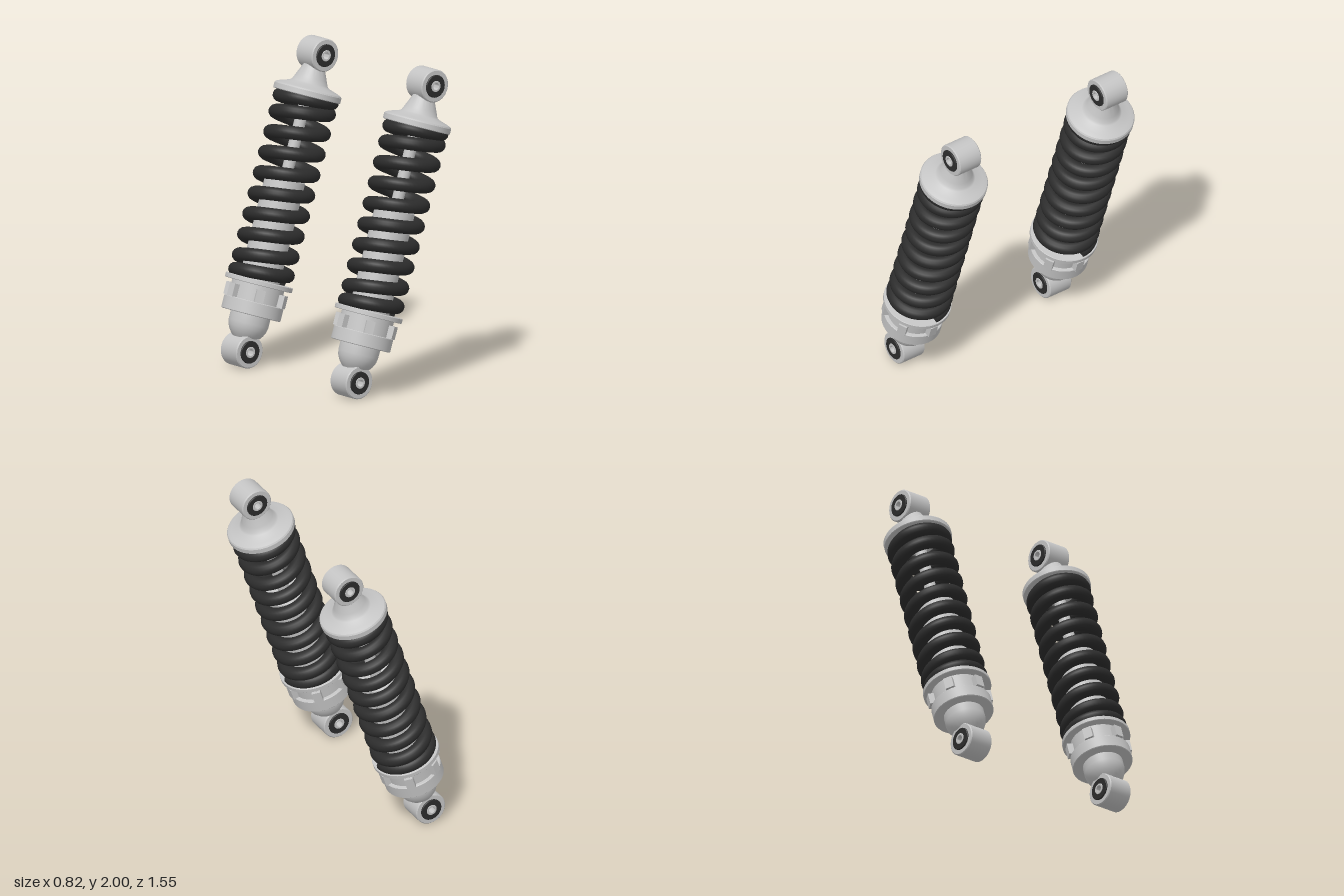
import * as THREE from 'three';
import { toCreasedNormals } from 'three/addons/utils/BufferGeometryUtils.js';

const silver = new THREE.MeshStandardMaterial({ color: 0xc4c4c4 });
silver.name = 'silver metal';
const black = new THREE.MeshStandardMaterial({ color: 0x2c2c2c });
black.name = 'black';

const LENGTH = 1.886; // distance between the two mounting eyes

function mesh(name, geometry, material) {
  const m = new THREE.Mesh(geometry, material);
  m.name = name;
  return m;
}

// Turned part from [radius, height] pairs, bottom to top
function turned(name, profile, material, segments = 56) {
  const geo = new THREE.LatheGeometry(profile.map(([r, y]) => new THREE.Vector2(r, y)), segments);
  return mesh(name, toCreasedNormals(geo, 0.5), material);
}

// Hollow ring with softened rims, its axis along z
function ring(name, inner, outer, half, bevel, material) {
  const m = turned(name, [
    [inner, -half], [outer - bevel, -half], [outer, -half + bevel],
    [outer, half - bevel], [outer - bevel, half], [inner, half], [inner, -half],
  ], material, 40);
  m.rotation.x = Math.PI / 2;
  return m;
}

// Mounting eye: metal ring, rubber bushing and bored sleeve
function mountingEye(name, y) {
  const g = new THREE.Group();
  g.name = name;
  g.add(
    ring('eyeRing', 0.07, 0.103, 0.083, 0.006, silver),
    ring('rubberBushing', 0.034, 0.071, 0.091, 0.004, black),
    ring('eyeSleeve', 0.022, 0.035, 0.094, 0.002, silver),
  );
  g.position.y = y;
  return g;
}

// Helix whose pitch tightens at both ends
class SpringCurve extends THREE.Curve {
  getPoint(t, target = new THREE.Vector3()) {
    const n = t * 10;
    const mid = THREE.MathUtils.clamp(n, 1.5, 8.5);
    const d = n - mid;
    const y = 0.579 + (mid - 1.5) * 0.1304 + d * 0.1304 - Math.sign(d) * 0.033 * d * d;
    const a = n * Math.PI * 2;
    return target.set(Math.cos(a) * 0.164, y, -Math.sin(a) * 0.164);
  }
}

function coilSpring() {
  const g = new THREE.Group();
  g.name = 'coilSpring';
  const curve = new SpringCurve();
  g.add(mesh('coil', new THREE.TubeGeometry(curve, 480, 0.042, 14), black));
  // Flat cut ends of the wire
  for (const t of [0, 1]) {
    const cap = mesh('coilEnd', new THREE.CircleGeometry(0.042, 14), black);
    cap.position.copy(curve.getPoint(t));
    const dir = curve.getTangent(t).multiplyScalar(t ? 1 : -1);
    cap.quaternion.setFromUnitVectors(new THREE.Vector3(0, 0, 1), dir);
    g.add(cap);
  }
  return g;
}

function shockAbsorber(name) {
  const g = new THREE.Group();
  g.name = name;
  g.add(mountingEye('lowerEye', 0), mountingEye('upperEye', LENGTH));

  // Rounded foot, adjuster collar and spring seat
  g.add(turned('lowerSeat', [
    [0.075, 0.075], [0.09, 0.09], [0.107, 0.112], [0.12, 0.14], [0.126, 0.17], [0.126, 0.225],
    [0.184, 0.225], [0.188, 0.229], [0.188, 0.306], [0.184, 0.31],
    [0.165, 0.31], [0.165, 0.415], [0.21, 0.415], [0.213, 0.418],
    [0.213, 0.442], [0.21, 0.445], [0.1, 0.445],
  ], silver));

  // Adjuster lugs around the collar
  for (let i = 0; i < 6; i++) {
    const a = (i * Math.PI) / 3;
    const lug = mesh('adjusterLug', new THREE.BoxGeometry(0.05, 0.08, 0.055), silver);
    lug.position.set(Math.cos(a) * 0.175, 0.349, -Math.sin(a) * 0.175);
    lug.rotation.y = a;
    g.add(lug);
  }

  // Damper body with chamfered top, and the piston rod
  g.add(turned('damperBody', [
    [0.126, 0.44], [0.126, 1.085], [0.106, 1.112], [0.02, 1.112],
  ], silver));
  const rod = mesh('pistonRod', new THREE.CylinderGeometry(0.037, 0.037, 0.54, 28), silver);
  rod.position.y = 1.37;
  g.add(rod);

  // Flared upper spring seat
  g.add(turned('upperSeat', [
    [0.02, 1.617], [0.209, 1.617], [0.213, 1.621], [0.213, 1.652], [0.207, 1.661],
    [0.18, 1.673], [0.125, 1.69], [0.113, 1.7], [0.1, 1.73], [0.072, 1.795], [0.068, 1.811],
  ], silver));

  g.add(coilSpring());
  return g;
}

export function createModel() {
  const model = new THREE.Group();
  model.name = 'shockAbsorberPair';
  // Two identical units, both leaning toward +x
  for (const side of [1, -1]) {
    const shock = shockAbsorber(side > 0 ? 'frontShock' : 'rearShock');
    shock.position.set(-0.307, 0.103, side * 0.563);
    shock.rotation.z = -Math.PI / 10;
    model.add(shock);
  }
  return model;
}
